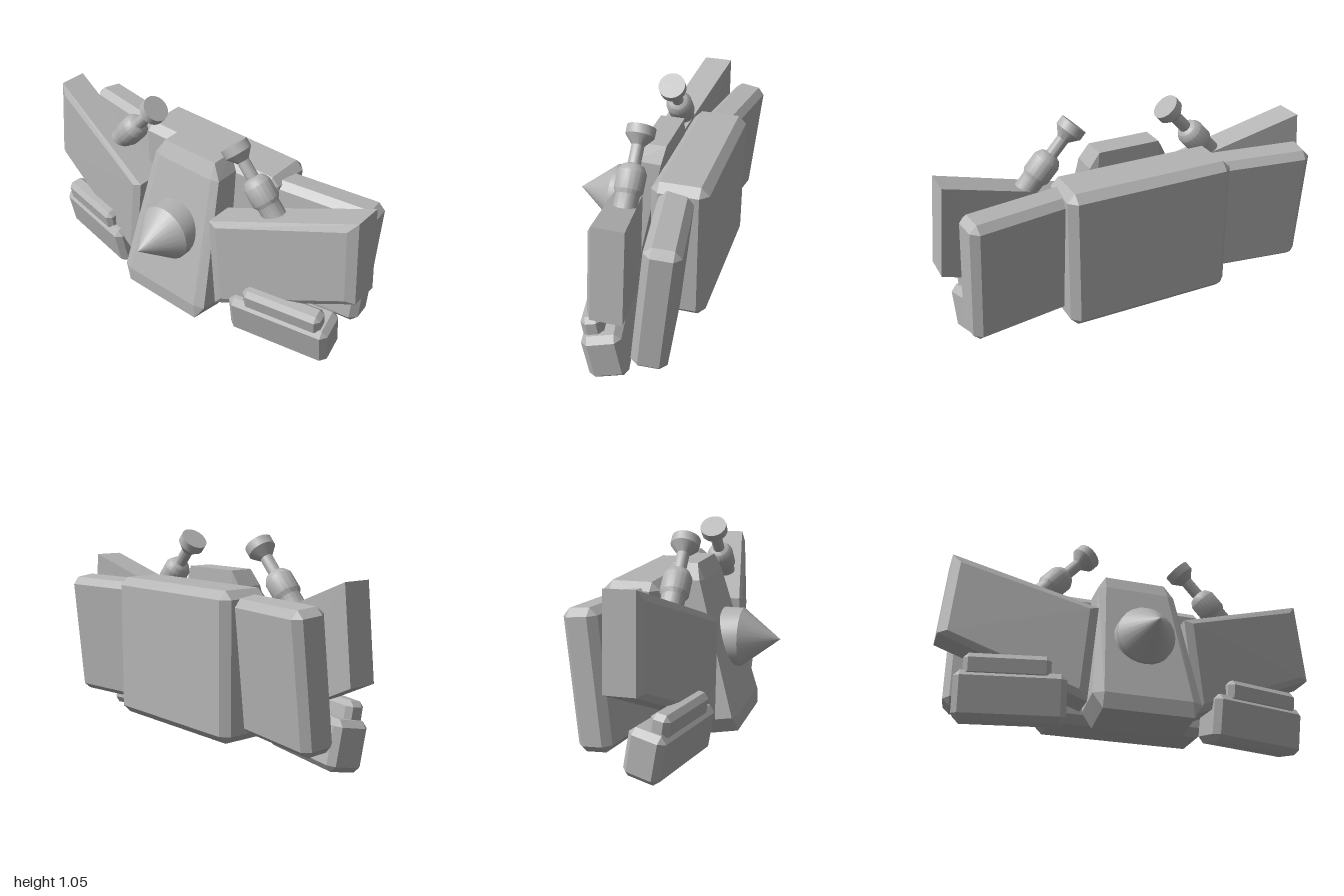
import * as THREE from 'three';
import { ConvexGeometry } from 'three/addons/geometries/ConvexGeometry.js';
import { toCreasedNormals } from 'three/addons/utils/BufferGeometryUtils.js';

const grey = new THREE.MeshStandardMaterial({ color: 0xb4b4b4 });
grey.name = 'grey';

const lerp = THREE.MathUtils.lerp;

// Box with chamfered edges; an optional rule reshapes its points
function chamferBox(w, h, d, b, reshape) {
  const pts = [];
  for (const x of [-1, 1]) for (const y of [-1, 1]) for (const z of [-1, 1]) {
    for (let full = 0; full < 3; full++) {
      const p = new THREE.Vector3(
        x * (w / 2 - (full === 0 ? 0 : b)),
        y * (h / 2 - (full === 1 ? 0 : b)),
        z * (d / 2 - (full === 2 ? 0 : b)));
      if (reshape) reshape(p);
      pts.push(p);
    }
  }
  return new ConvexGeometry(pts);
}

export function createModel() {
  const model = new THREE.Group();
  model.name = 'model';

  function add(name, geometry, pos = [0, 0, 0], tilt = 0, yaw = 0) {
    const m = new THREE.Mesh(geometry, grey);
    m.name = name;
    m.position.set(...pos);
    m.rotation.set(tilt, yaw, 0, 'YXZ');
    model.add(m);
    return m;
  }

  // Central body: tapers upward and leans back, with a sloped underside
  add('body', chamferBox(2, 2, 2, 0.19, p => {
    const t = (p.y + 1) / 2, f = (p.z + 1) / 2;
    const x = p.x * lerp(0.285, 0.2, t);
    const z = lerp(lerp(0.01, -0.135, t), lerp(0.255, 0.02, t), f);
    const y = lerp(lerp(0.015, 0.06, f), 0.88, t);
    p.set(x, y, z);
  }));

  // Nose cone on a short collar
  const nose = [[0, 0.1], [0.15, 0.1], [0.15, 0.2], [0, 0.395]]
    .map(([r, y]) => new THREE.Vector2(r, y));
  const noseGeo = toCreasedNormals(new THREE.LatheGeometry(nose, 24), 0.5);
  add('noseCone', noseGeo.rotateX(Math.PI / 2), [0, 0.48, 0]);

  // Large slab at the back
  add('backSlab', chamferBox(0.87, 0.72, 0.28, 0.04), [0, 0.46, -0.255]);

  // Gun profile, from the base up to the muzzle
  const gun = [[0, -0.46], [0.057, -0.46], [0.057, -0.33], [0.07, -0.31], [0.07, -0.22],
    [0.052, -0.19], [0.031, -0.18], [0.031, -0.09], [0.07, -0.045], [0.07, 0], [0, 0]]
    .map(([r, y]) => new THREE.Vector2(r, y));
  const gunGeo = toCreasedNormals(new THREE.LatheGeometry(gun, 18), 0.6);

  // Front wing outline: x, y, back z, front z
  const outline = [[0.23, 0.63, -0.02, 0.125], [0.96, 0.895, -0.18, -0.03],
    [1.0, 0.445, -0.175, -0.025], [0.28, 0.12, -0.02, 0.125]];

  for (const s of [1, -1]) {
    const side = s > 0 ? 'left' : 'right';

    // Swept front wing with a shallow raised face
    const pts = [];
    for (const [x, y, zb, zf] of outline) {
      pts.push(new THREE.Vector3(s * x, y, zb), new THREE.Vector3(s * x, y, zf));
      pts.push(new THREE.Vector3(s * lerp(x, 0.62, 0.12), lerp(y, 0.52, 0.14),
        lerp(zf, 0.05, 0.12) + 0.018));
    }
    add(side + 'FrontWing', new ConvexGeometry(pts));

    // Rear wing
    add(side + 'RearWing', chamferBox(0.56, 0.65, 0.17, 0.035),
      [s * 0.64, 0.465, -0.25], -0.1, s * 0.15);

    // Foot pod and the strip on top of it
    add(side + 'Foot', chamferBox(0.54, 0.24, 0.19, 0.03),
      [s * 0.63, 0.135, 0.005], 0.19, s * 0.19);
    add(side + 'FootStrip', chamferBox(0.42, 0.12, 0.1, 0.025),
      [s * 0.66, 0.27, 0.06], 0.17, s * 0.19);

    // Gun leaning toward the middle
    const g = add(side + 'Gun', gunGeo, [s * 0.25, 1.012, -0.025]);
    g.rotation.z = s * 0.735;
  }
  return model;
}
